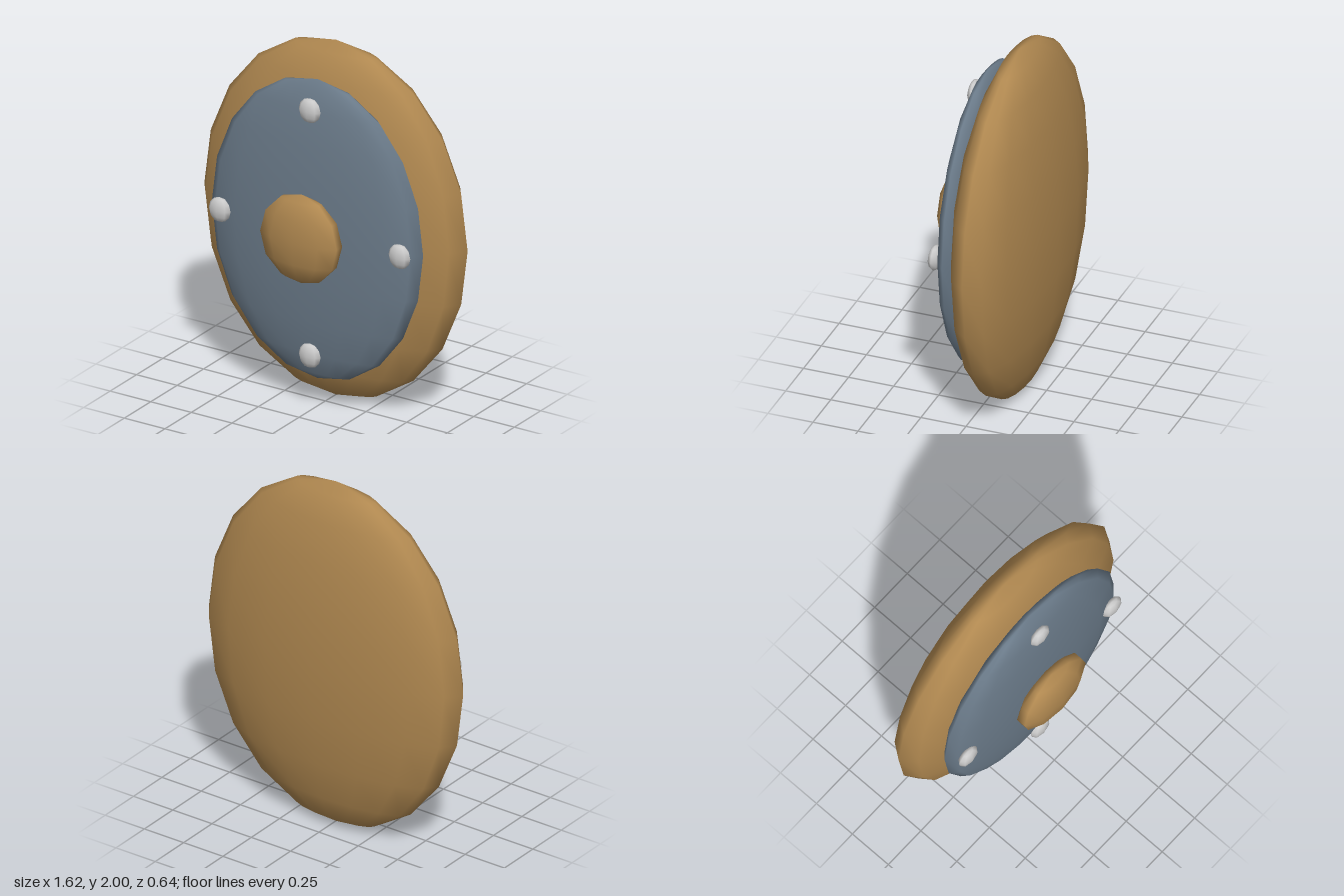
import * as THREE from 'three';

const wood = new THREE.MeshStandardMaterial({ color: 0xb08850 });
const steel = new THREE.MeshStandardMaterial({ color: 0x6b7b8a });
const grey = new THREE.MeshStandardMaterial({ color: 0xcccccc });

// Smooth low-poly ellipsoid with its poles along y and a vertex facing +z
function ellipsoid(name, material, center, radii, segments, rings) {
  const geometry = new THREE.SphereGeometry(1, segments, rings);
  geometry.rotateY(Math.PI / 2);
  geometry.scale(...radii);
  const mesh = new THREE.Mesh(geometry, material);
  mesh.name = name;
  mesh.position.set(...center);
  return mesh;
}

export function createModel() {
  const shield = new THREE.Group();
  shield.name = 'shield';

  // Wooden body, metal face plate and central boss
  shield.add(ellipsoid('body', wood, [0, 1, -0.1], [0.81, 1, 0.22], 16, 10));
  shield.add(ellipsoid('facePlate', steel, [0, 1, 0.075], [0.65, 0.843, 0.115], 16, 10));
  shield.add(ellipsoid('boss', wood, [0, 1, 0.23], [0.247, 0.25, 0.087], 10, 6));

  // Four rivets around the plate
  const rivets = {
    topRivet: [0, 1.692, 0.149],
    bottomRivet: [0, 0.312, 0.149],
    leftRivet: [0.553, 1.002, 0.15],
    rightRivet: [-0.553, 1.002, 0.15],
  };
  for (const [name, center] of Object.entries(rivets)) {
    shield.add(ellipsoid(name, grey, center, [0.067, 0.069, 0.033], 8, 6));
  }
  return shield;
}
